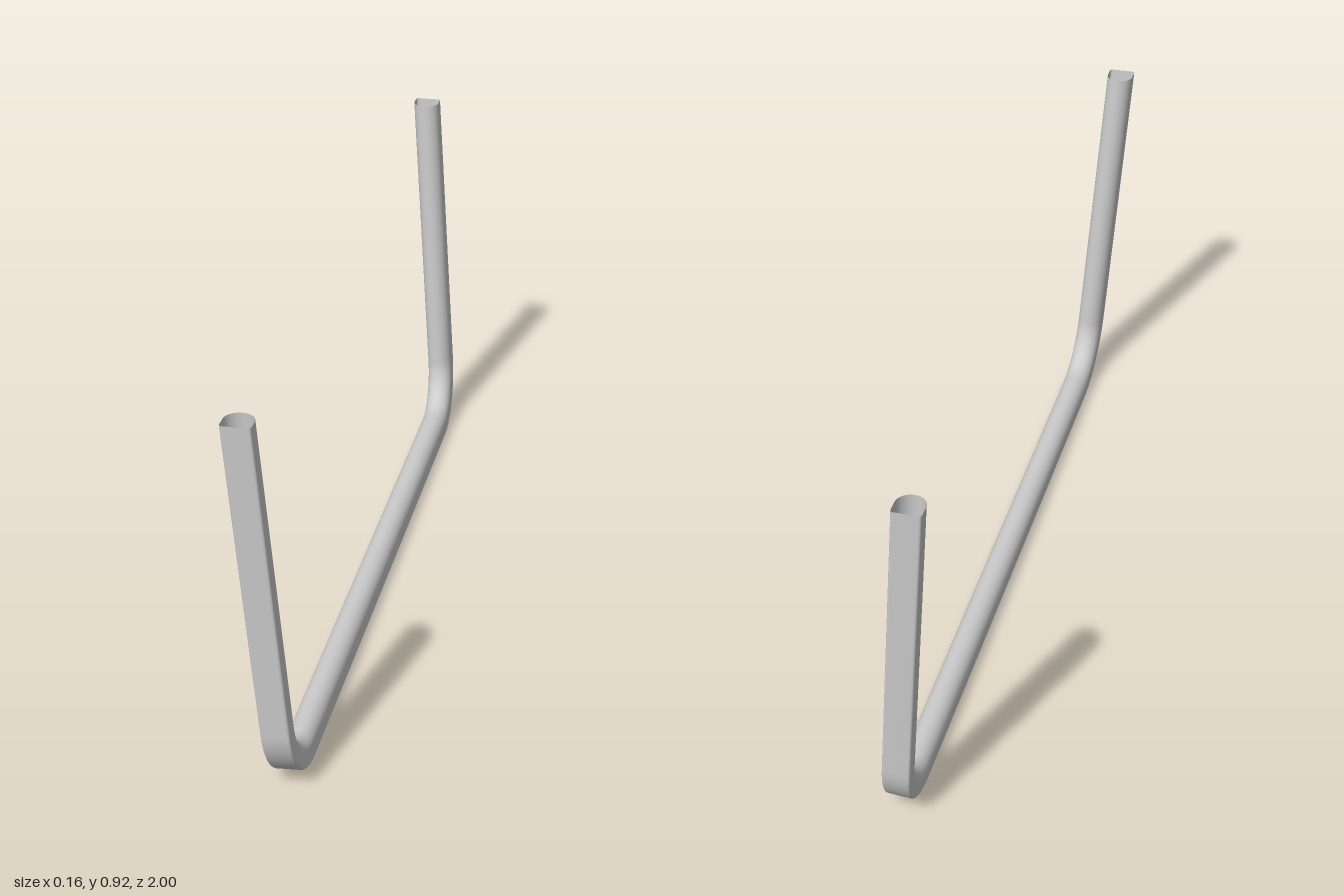
import * as THREE from 'three';

const HALF = 0.0325;   // half the tube width
const TOP = 0.92;      // height of the cut ends
const BAR_Y = 0.036;   // centre line of the bottom bar
const BEND_Z = 0.785;  // where the bends begin
const BEND_R = 0.143;
const SPLAY = 0.054;   // outward slope of the legs in z
const LEAN = 0.076;    // sideways lean of the whole frame in x
const SKEW = 0.0165;   // turn of the bar about y

// D-shaped section: flat on the outside of the bend, round on the inside
function sectionPoints() {
  const r = 0.007;
  const s = new THREE.Shape();
  s.moveTo(HALF, 0);
  s.lineTo(HALF, HALF - r);
  s.quadraticCurveTo(HALF, HALF, HALF - r, HALF);
  s.lineTo(-HALF + r, HALF);
  s.quadraticCurveTo(-HALF, HALF, -HALF, HALF - r);
  s.lineTo(-HALF, 0);
  s.absarc(0, 0, HALF, Math.PI, Math.PI * 2, false);
  const pts = s.getPoints(8);
  if (pts[0].distanceTo(pts[pts.length - 1]) < 1e-5) pts.pop();
  return pts;
}

// Front half of the centre line: position (z, y) and outward normal (nz, ny)
function halfPath() {
  const path = [];
  const turn = Math.PI / 2 - Math.atan(SPLAY);
  const steps = 16;
  for (let i = 0; i <= steps; i++) {
    const a = (turn * i) / steps;
    const nz = Math.sin(a), ny = -Math.cos(a);
    path.push({ z: BEND_Z + BEND_R * nz, y: BAR_Y + BEND_R + BEND_R * ny, nz, ny });
  }
  const last = path[steps];
  path.push({ ...last, z: last.z + (TOP - last.y) * SPLAY, y: TOP, end: true });
  return path;
}

function tubeGeometry() {
  const section = sectionPoints();
  const half = halfPath();
  const back = half.map((p) => ({ ...p, z: -p.z, nz: -p.nz })).reverse();
  const path = [...back, ...half];
  const n = section.length;
  const pos = [], index = [];
  path.forEach((p, i) => {
    section.forEach(({ x: w, y: q }, j) => {
      const h = p.y + q * p.ny;
      const s = p.z + q * p.nz;
      let x = 0.035 - SKEW * s + w - LEAN * (h - BAR_Y);
      let y = h + LEAN * w;
      let z = s + SKEW * w;
      if (p.end) { // slide along the leg so the end is cut level
        const dy = TOP - y;
        x -= LEAN * dy;
        y = TOP;
        z += Math.sign(p.z) * SPLAY * dy;
      }
      pos.push(x, y, z);
      if (i < path.length - 1) {
        const a = i * n + j, b = i * n + ((j + 1) % n);
        index.push(a, a + n, b, b, a + n, b + n);
      }
    });
  });
  const geo = new THREE.BufferGeometry();
  geo.setAttribute('position', new THREE.Float32BufferAttribute(pos, 3));
  geo.setIndex(index);
  geo.computeVertexNormals();
  return geo;
}

export function createModel() {
  const group = new THREE.Group();
  group.name = 'bentTubeFrame';
  // One continuous open-ended tube: leg, bend, bar, bend, leg
  const tube = new THREE.Mesh(
    tubeGeometry(),
    new THREE.MeshStandardMaterial({ color: 0xcccccc, side: THREE.DoubleSide })
  );
  tube.name = 'legTube';
  group.add(tube);
  return group;
}
